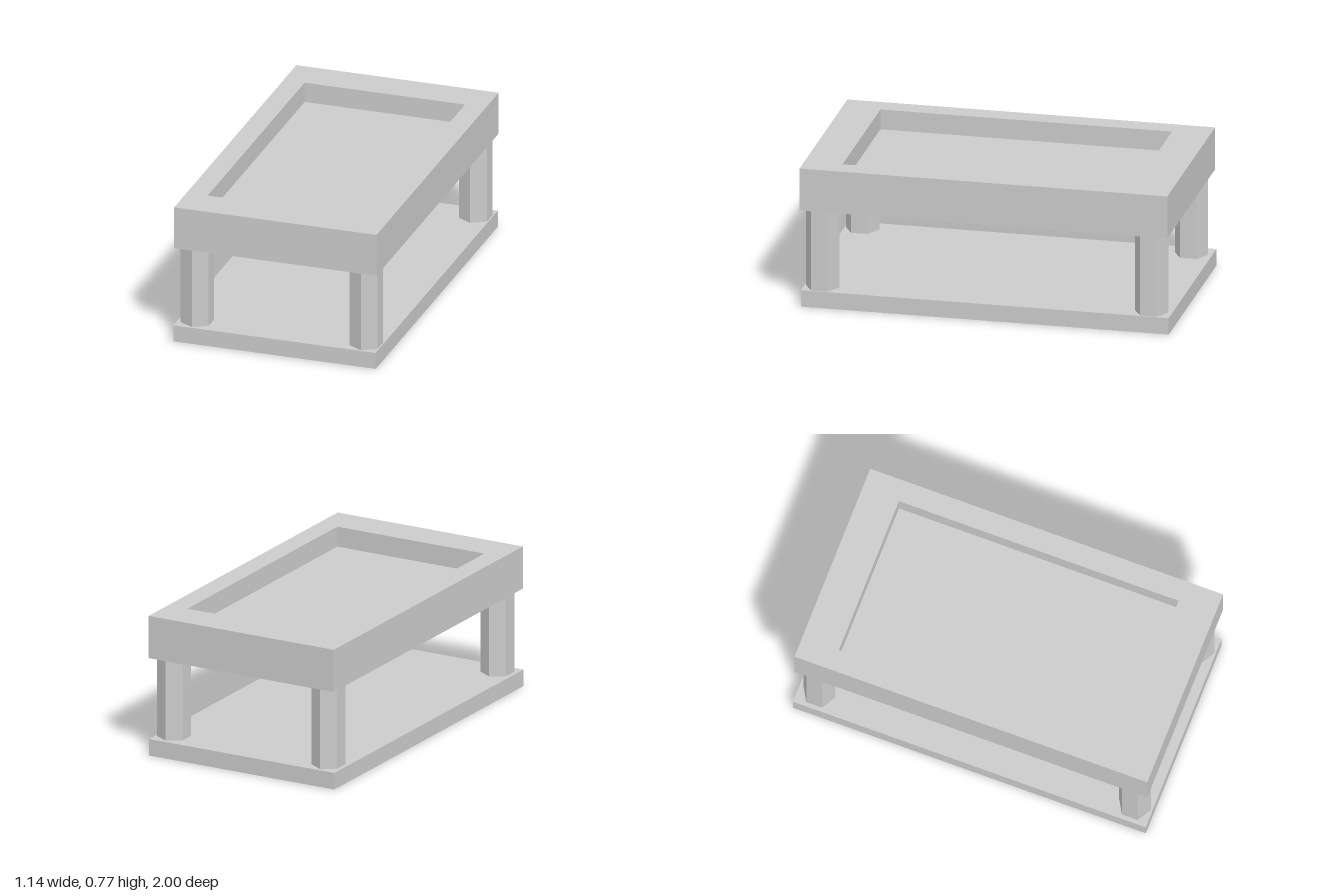
import * as THREE from 'three';

const material = new THREE.MeshStandardMaterial({ color: 0xcccccc, flatShading: true });

function addPart(parent, name, geometry, x, y, z) {
  const mesh = new THREE.Mesh(geometry, material);
  mesh.name = name;
  mesh.position.set(x, y, z);
  parent.add(mesh);
}

// Rectangular tray: a profile turned in four steps, then stretched to width and length
function trayGeometry(width, length, height, depth, innerRatio) {
  const profile = [
    [0, 0], [1, 0], [1, height], [innerRatio, height],
    [innerRatio, height - depth], [0, height - depth],
  ].map(([r, y]) => new THREE.Vector2(r * Math.SQRT1_2, y));
  const geometry = new THREE.LatheGeometry(profile, 4, Math.PI / 4)
    .scale(width, 1, length)
    .toNonIndexed();
  geometry.computeVertexNormals();
  return geometry;
}

export function createModel() {
  const group = new THREE.Group();
  group.name = 'table';

  const baseHeight = 0.092;
  const topBottom = 0.54;
  const legHeight = topBottom - baseHeight;

  // Lower shelf, set a touch off from the top
  addPart(group, 'baseShelf', new THREE.BoxGeometry(1.13, baseHeight, 1.993),
    -0.004, baseHeight / 2, -0.003);

  // Four hexagonal legs, points facing front and back
  const legs = new THREE.Group();
  legs.name = 'legs';
  group.add(legs);
  const legGeometry = new THREE.CylinderGeometry(0.09, 0.09, legHeight, 6);
  for (const [end, z] of [['front', 0.895], ['back', -0.888]]) {
    for (const [side, x] of [['Left', 0.475], ['Right', -0.468]]) {
      addPart(legs, `${end}${side}Leg`, legGeometry, x, baseHeight + legHeight / 2, z);
    }
  }

  // Thick top with a sunken panel
  addPart(group, 'recessedTop', trayGeometry(1.13, 1.993, 0.235, 0.111, 0.793),
    0.003, topBottom, 0.003);

  return group;
}
